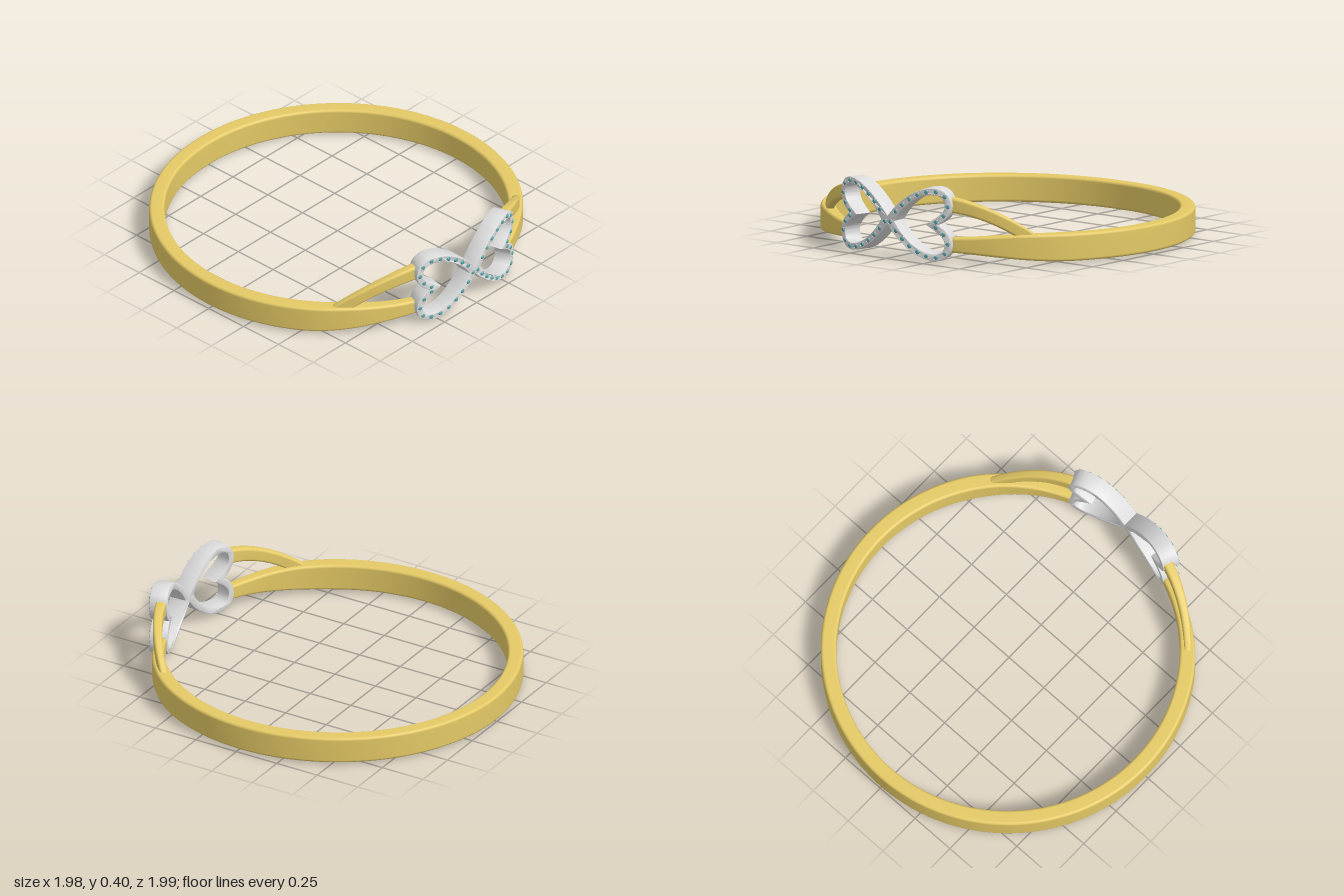
import * as THREE from 'three';
import { toCreasedNormals } from 'three/addons/utils/BufferGeometryUtils.js';

const gold = new THREE.MeshStandardMaterial({ name: 'gold', color: 0xe4c965 });
const silver = new THREE.MeshStandardMaterial({ name: 'silver', color: 0xdcdcdd });
const teal = new THREE.MeshStandardMaterial({ name: 'teal gem', color: 0x55a3a5 });

const HEART_Y = 0.205;
const JOIN = 0.358; // angle at which the gold meets the hearts
const ss = THREE.MathUtils.smoothstep;

// Rounded rectangle cross-section, counter-clockwise in (radius, y)
function section({ r0, r1, y0, y1 }) {
  const c = Math.min(0.015, (r1 - r0) * 0.35, (y1 - y0) * 0.35);
  const corners = [[r1 - c, y0 + c], [r1 - c, y1 - c], [r0 + c, y1 - c], [r0 + c, y0 + c]];
  const pts = [];
  corners.forEach(([r, y], k) => {
    for (let i = 0; i <= 4; i++) {
      const a = (k - 1 + i / 4) * Math.PI / 2;
      pts.push([r + c * Math.cos(a), y + c * Math.sin(a)]);
    }
  });
  return pts;
}

// Sweep a varying cross-section around the vertical axis (angle 0 is the front)
function sweep(a0, a1, steps, profile) {
  const pos = [], idx = [], m = 20;
  for (let i = 0; i <= steps; i++) {
    const a = a0 + (a1 - a0) * i / steps;
    for (const [r, y] of section(profile(a))) pos.push(r * Math.sin(a), y, r * Math.cos(a));
  }
  for (let i = 0; i < steps; i++) {
    for (let j = 0; j < m; j++) {
      const p = i * m + j, q = i * m + (j + 1) % m;
      idx.push(p, p + m, q, q, p + m, q + m);
    }
  }
  const e = steps * m;
  for (let j = 1; j < m - 1; j++) idx.push(0, j, j + 1, e, e + j + 1, e + j);
  const g = new THREE.BufferGeometry();
  g.setAttribute('position', new THREE.Float32BufferAttribute(pos, 3));
  g.setIndex(idx);
  g.computeVertexNormals();
  return g;
}

// Main band: slimmer towards the front
function bandProfile(a) {
  const d = Math.min(a, Math.PI * 2 - a);
  const back = Math.max(0, (d - 1) / (Math.PI - 1));
  return {
    r0: 0.905 + 0.005 * back,
    r1: 0.963 + 0.027 * ss(d, 0.35, 1.0),
    y0: 0.012 * (1 - back) + 0.043 * (1 - ss(d, 0.3, 1.05)),
    y1: 0.133 + 0.027 * ss(d, 0.3, 0.85) - 0.015 * back,
  };
}

// Upper branch: arches from the heart down into the band
function branchProfile(a) {
  const t = (Math.abs(a) - JOIN) / 0.5;
  return {
    r0: 0.908 + 0.022 * t,
    r1: 0.965,
    y0: 0.268 - 0.03 * t - 0.17 * t * t,
    y1: 0.352 - 0.06 * t - 0.14 * t * t,
  };
}

// Upper half of a heart lying on its side: tip, then three bezier segments
const OUTER = [[-0.008, 0.016], [0.07, 0.11], [0.18, 0.195], [0.29, 0.195], [0.345, 0.195], [0.386, 0.16],
  [0.386, 0.105], [0.386, 0.055], [0.355, 0.025], [0.312, 0]];
const INNER = [[0.045, 0], [0.09, 0.07], [0.19, 0.158], [0.285, 0.158], [0.325, 0.158], [0.348, 0.14],
  [0.348, 0.1], [0.348, 0.06], [0.285, 0.03], [0.238, 0]];
const MIDDLE = OUTER.map(([x, y], i) => [(x + INNER[i][0]) / 2, (y + INNER[i][1]) / 2]);

// Counter-clockwise outline: lower half out to the notch, upper half back
function trace(path, half) {
  const lower = half.map(([x, y]) => [x, -y]);
  path.moveTo(...lower[0]);
  for (const side of [lower, [...half].reverse()]) {
    for (let i = 1; i < 10; i += 3) path.bezierCurveTo(...side[i], ...side[i + 1], ...side[i + 2]);
  }
  return path;
}

// Open heart, wrapped around the wrist curve
function heartGeometry(side) {
  const shape = trace(new THREE.Shape(), OUTER);
  shape.closePath();
  shape.holes.push(trace(new THREE.Path(), INNER));
  const g = new THREE.ExtrudeGeometry(shape, {
    depth: 0.085, curveSegments: 18, bevelEnabled: true,
    bevelThickness: 0.005, bevelSize: 0.004, bevelOffset: -0.004, bevelSegments: 2,
  });
  if (side < 0) g.rotateZ(Math.PI);
  const p = g.attributes.position;
  for (let i = 0; i < p.count; i++) {
    const a = p.getX(i), r = 0.907 + p.getZ(i);
    p.setXYZ(i, r * Math.sin(a), p.getY(i) + HEART_Y, r * Math.cos(a));
  }
  return toCreasedNormals(g, 0.6);
}

export function createModel() {
  const model = new THREE.Group();
  const bracelet = new THREE.Group();
  bracelet.name = 'bracelet';
  bracelet.position.z = -0.005;
  model.add(bracelet);

  const add = (name, geometry, material, parent = bracelet) => {
    const mesh = new THREE.Mesh(geometry, material);
    mesh.name = name;
    parent.add(mesh);
    return mesh;
  };

  add('band', sweep(JOIN, Math.PI * 2 - JOIN, 160, bandProfile), gold);
  add('leftBranch', sweep(JOIN, JOIN + 0.5, 28, branchProfile), gold);
  add('rightBranch', sweep(-JOIN - 0.5, -JOIN, 28, branchProfile), gold);

  // Hearts, each set with a row of small faceted gems held by beads
  const gemGeo = new THREE.CylinderGeometry(0.008, 0.0135, 0.008, 8).toNonIndexed();
  gemGeo.computeVertexNormals();
  gemGeo.rotateX(Math.PI / 2);
  const beadGeo = new THREE.SphereGeometry(0.004, 6, 5);
  const row = trace(new THREE.Path(), MIDDLE).getSpacedPoints(21);

  for (const side of [1, -1]) {
    const label = side > 0 ? 'left' : 'right';
    add(label + 'Heart', heartGeometry(side), silver);
    const gems = new THREE.Group();
    gems.name = label + 'Gems';
    bracelet.add(gems);
    row.slice(0, -1).forEach((pt) => {
      const a = pt.x * side;
      const setting = new THREE.Group();
      setting.name = 'gemSetting';
      setting.position.set(0.998 * Math.sin(a), pt.y + HEART_Y, 0.998 * Math.cos(a));
      setting.rotation.y = a;
      gems.add(setting);
      add('gem', gemGeo, teal, setting);
      for (const s of [1, -1]) add('bead', beadGeo, silver, setting).position.set(0.01 * s, 0.01 * s, 0.001);
    });
  }
  return model;
}
